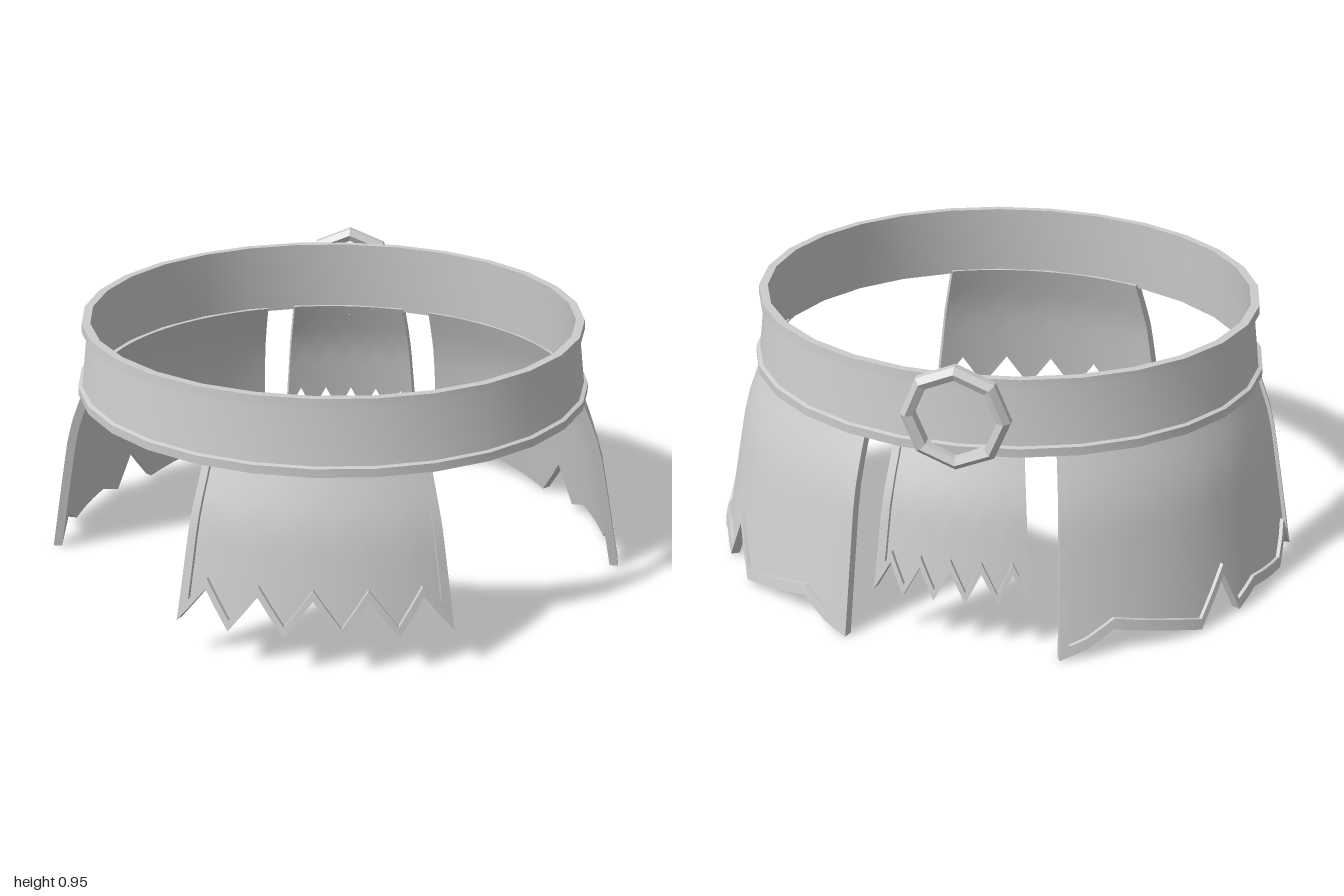
import * as THREE from 'three';
import { toCreasedNormals } from 'three/addons/utils/BufferGeometryUtils.js';

const lerp = THREE.MathUtils.lerp;
const rad = THREE.MathUtils.degToRad;
const TOP = 0.66;

// linear interpolation through [u, value] points
function sample(points, u) {
  for (let i = 1; i < points.length; i++) {
    const [u0, v0] = points[i - 1], [u1, v1] = points[i];
    if (u <= u1) return lerp(v0, v1, (u - u0) / (u1 - u0));
  }
  return points[points.length - 1][1];
}

const FLARE = [[-0.1, -0.1], [0, 0], [0.14, 0.25], [0.28, 0.45], [0.5, 0.62], [1, 1]];

// point on the flared skirt surface; angle 0 faces front, 90 faces +x
function skirtPoint(span, u, y, off) {
  const s = (0.65 - y) / 0.65;
  const f = sample(FLARE, s);
  const a = rad(lerp(lerp(span.top[0], span.bottom[0], s), lerp(span.top[1], span.bottom[1], s), u));
  const rx = lerp(0.835, 0.988, f) + off, rz = lerp(0.742, 0.895, f) + off;
  return [Math.sin(a) * rx, y, Math.cos(a) * rz + lerp(0.02, 0.005, f)];
}

// curved slab between two height functions, swept column by column
function slab(span, us, yTop, yBottom, outer, inner, rows) {
  const pos = [], idx = [], m = 2 * (rows + 1);
  const flip = span.top[1] < span.top[0];
  const tri = (a, b, c) => (flip ? idx.push(a, c, b) : idx.push(a, b, c));
  us.forEach((u) => {
    for (let j = 0; j < m; j++) {
      const k = j <= rows ? j : m - 1 - j;
      const y = lerp(yTop(u), yBottom(u), k / rows);
      pos.push(...skirtPoint(span, u, y, j <= rows ? outer : inner));
    }
  });
  for (let i = 0; i < us.length - 1; i++) {
    for (let j = 0; j < m; j++) {
      const a = i * m + j, c = i * m + (j + 1) % m;
      tri(a, c, a + m);
      tri(a + m, c, c + m);
    }
  }
  const last = (us.length - 1) * m;
  for (let k = 0; k < rows; k++) {
    const o = k, p = k + 1, n = m - 1 - k, q = m - 2 - k;
    tri(o, n, p);
    tri(p, n, q);
    tri(last + o, last + p, last + n);
    tri(last + p, last + q, last + n);
  }
  const g = new THREE.BufferGeometry();
  g.setAttribute('position', new THREE.Float32BufferAttribute(pos, 3));
  g.setIndex(idx);
  return toCreasedNormals(g, rad(35));
}

// cloth panel with a ragged lower edge and a raised hem
function flap(name, span, edge, hemU, mat) {
  const group = new THREE.Group();
  group.name = name;
  const us = [0];
  for (let i = 1; i < edge.length; i++) {
    const a = edge[i - 1][0], b = edge[i][0];
    const n = Math.max(1, Math.ceil((b - a) / 0.06));
    for (let k = 1; k <= n; k++) us.push(lerp(a, b, k / n));
  }
  const low = (u) => sample(edge, u);
  const hemTop = (u) => low(u) + 0.035;
  const top = () => TOP;
  const add = (part, geo) => {
    const mesh = new THREE.Mesh(geo, mat);
    mesh.name = part;
    group.add(mesh);
  };
  add('panel', slab(span, us, top, low, 0, -0.018, 8));
  add('bottomHem', slab(span, us, hemTop, low, 0.012, -0.004, 1));
  add('sideHemA', slab(span, [0, hemU], top, hemTop, 0.012, -0.004, 8));
  add('sideHemB', slab(span, [1 - hemU, 1], top, hemTop, 0.012, -0.004, 8));
  return group;
}

// regular teeth, starting and ending on a low tip
function teeth(count, lowY, highY) {
  return Array.from({ length: count * 2 + 1 }, (_, i) => [i / (count * 2), i % 2 ? highY : lowY]);
}

const vecs = (list) => list.map(([x, y]) => new THREE.Vector2(x, y));

export function createModel() {
  const model = new THREE.Group();
  model.name = 'beltedSkirt';
  const mat = new THREE.MeshStandardMaterial({ color: 0xcccccc });
  mat.name = 'plain grey';

  // oval waistband with a rim along both edges
  const band = new THREE.LatheGeometry(vecs([
    [0.832, 0.647], [0.866, 0.647], [0.866, 0.676], [0.852, 0.68], [0.829, 0.868],
    [0.846, 0.871], [0.844, 0.902], [0.815, 0.902], [0.832, 0.647],
  ]), 28);
  const belt = new THREE.Mesh(toCreasedNormals(band, rad(30)), mat);
  belt.name = 'belt';
  belt.scale.z = 0.885;
  belt.position.set(-0.005, 0, 0.02);
  model.add(belt);

  // eight-sided buckle ring at the back
  const ring = new THREE.LatheGeometry(vecs([
    [0.155, -0.03], [0.175, -0.012], [0.175, 0.012], [0.155, 0.03],
    [0.132, 0.02], [0.132, -0.02], [0.155, -0.03],
  ]), 8);
  const buckle = new THREE.Mesh(toCreasedNormals(ring, 0.1), mat);
  buckle.name = 'buckleRing';
  buckle.rotation.x = Math.PI / 2;
  buckle.position.set(0, 0.776, -0.746);
  model.add(buckle);

  // front and back flaps
  model.add(flap('frontFlap', { top: [-25, 25], bottom: [-27.5, 27.5] }, teeth(5, 0.135, 0.26), 0.035, mat));
  model.add(flap('backFlap', { top: [165.7, 194.3], bottom: [164.5, 195.5] }, teeth(5, 0.185, 0.285), 0.06, mat));

  // wide side flaps, mirrored
  const ragged = [
    [0, 0.005], [0.03, 0.03], [0.08, 0.1], [0.18, 0.02], [0.36, 0.05], [0.44, 0.01],
    [0.5, 0.155], [0.59, 0.005], [0.68, 0.035], [0.855, 0.085], [0.93, 0.03], [1, 0],
  ];
  for (const s of [1, -1]) {
    const span = { top: [82 * s, 158.6 * s], bottom: [86.8 * s, 159.5 * s] };
    model.add(flap(s > 0 ? 'leftFlap' : 'rightFlap', span, ragged, 0.025, mat));
  }
  return model;
}
